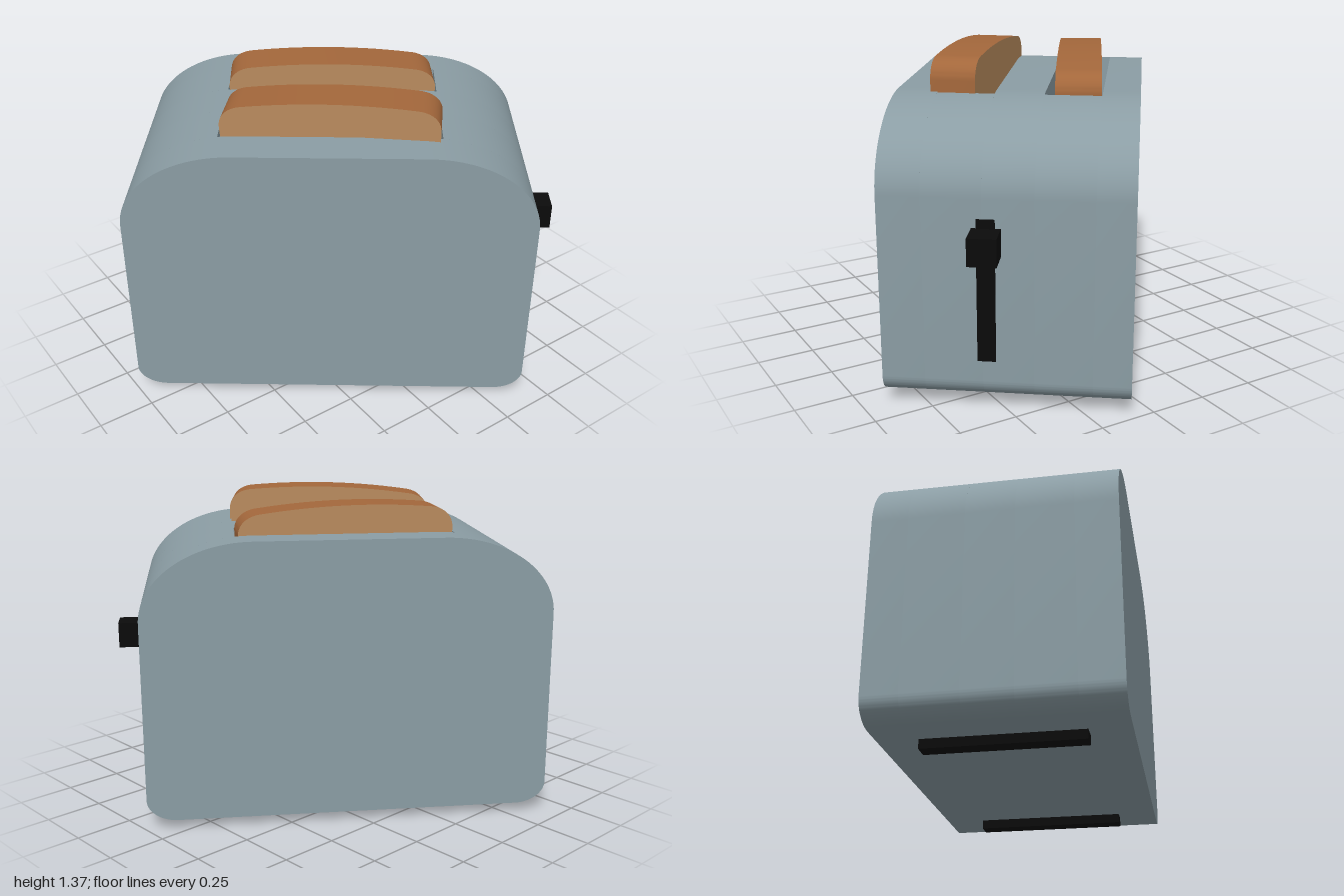
import * as THREE from 'three';
import { toCreasedNormals } from 'three/addons/utils/BufferGeometryUtils.js';

const HALF = 0.867, BOTTOM = 0.04, TOP = 1.23, DEPTH = 0.504;
const SLOT_HALF = 0.465, SLOT_FLOOR = 0.42;
const SLOTS = [[-0.35, -0.115], [0.09, 0.328]];

const paint = (color) => new THREE.MeshStandardMaterial({ color });

// Extrudes a profile from z0 to z1 with smooth curves and sharp edges
function slab(shape, z0, z1) {
  const geo = new THREE.ExtrudeGeometry(shape, { depth: z1 - z0, bevelEnabled: false, curveSegments: 14 });
  return toCreasedNormals(geo.translate(0, 0, z0), 0.6);
}

// Side outline of the body, with the bread slot cut down from the top if asked
function bodyProfile(notched) {
  const rx = 0.47, ry = 0.33, bx = 0.13, by = 0.095;
  const cx = HALF - rx, cy = TOP - ry;
  const end = notched ? Math.acos((SLOT_HALF - cx) / rx) : Math.PI / 2;
  const s = new THREE.Shape();
  s.moveTo(-HALF + bx, BOTTOM);
  s.absellipse(HALF - bx, BOTTOM + by, bx, by, -Math.PI / 2, 0, false, 0);
  s.absellipse(cx, cy, rx, ry, 0, end, false, 0);
  if (notched) s.lineTo(SLOT_HALF, SLOT_FLOOR).lineTo(-SLOT_HALF, SLOT_FLOOR);
  s.absellipse(-cx, cy, rx, ry, Math.PI - end, Math.PI, false, 0);
  s.absellipse(-HALF + bx, BOTTOM + by, bx, by, Math.PI, Math.PI * 1.5, false, 0);
  return s;
}

// Slice outline: straight sides, rounded shoulders and a gently domed top
function breadProfile() {
  const s = new THREE.Shape();
  s.moveTo(-0.44, -0.85);
  s.lineTo(0.44, -0.85);
  s.lineTo(0.46, -0.11);
  s.bezierCurveTo(0.46, -0.06, 0.42, -0.025, 0.36, -0.02);
  s.quadraticCurveTo(0, 0.02, -0.36, -0.02);
  s.bezierCurveTo(-0.42, -0.025, -0.46, -0.06, -0.46, -0.11);
  return s;
}

export function createModel() {
  const model = new THREE.Group();
  const toaster = new THREE.Group();
  toaster.name = 'toaster';
  toaster.rotation.y = 0.933;
  model.add(toaster);

  const steel = paint(0x8b9da4), black = paint(0x0b0b0b);
  const crumb = paint(0xb98b5e), crust = paint(0xa3673b);

  const add = (name, geo, mat, x = 0, y = 0, z = 0) => {
    const mesh = new THREE.Mesh(geo, mat);
    mesh.name = name;
    mesh.position.set(x, y, z);
    toaster.add(mesh);
    return mesh;
  };

  // Body: solid walls alternating with slotted sections
  const cuts = [-DEPTH, ...SLOTS.flat(), DEPTH];
  for (let i = 0; i < cuts.length - 1; i++) {
    const notched = i % 2 === 1;
    add(notched ? 'slottedBody' : 'bodyWall', slab(bodyProfile(notched), cuts[i], cuts[i + 1]), steel);
  }

  // Bread slices, each leaning a little differently in its slot
  const slices = [
    { y: 1.345, z: -0.229, yaw: 0.049, pitch: -0.025 },
    { y: 1.372, z: 0.221, yaw: -0.094, pitch: 0.03 },
  ];
  for (const { y, z, yaw, pitch } of slices) {
    const bread = add('breadSlice', slab(breadProfile(), -0.095, 0.095), [crumb, crust], 0, y, z);
    bread.rotation.set(0, yaw, pitch);
  }

  // Feet
  for (const side of [-1, 1]) {
    add('foot', new THREE.BoxGeometry(0.075, 0.05, 0.667), black, side * 0.589, 0.025, 0);
  }

  // Lever track and knob on the end wall
  add('leverTrack', new THREE.BoxGeometry(0.02, 0.595, 0.074), black, HALF - 0.004, 0.522, 0.075);
  add('leverKnob', new THREE.BoxGeometry(0.13, 0.113, 0.116), black, 0.925, 0.726, 0.073);

  return model;
}
